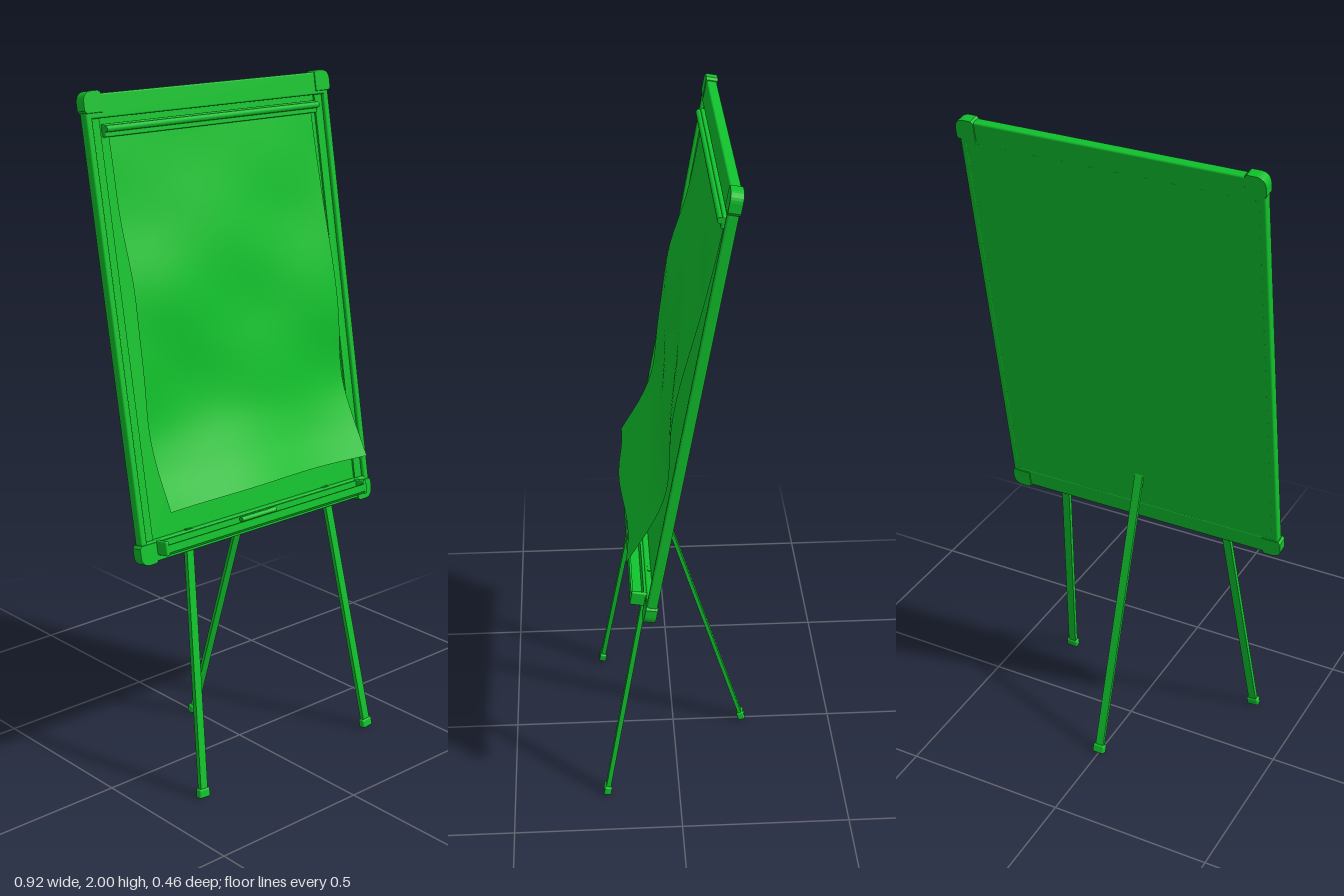
import * as THREE from 'three';
import { RoundedBoxGeometry } from 'three/addons/geometries/RoundedBoxGeometry.js';

export function createModel() {
  const model = new THREE.Group();
  const green = new THREE.MeshStandardMaterial({ color: 0x10c02c });
  const sheetMat = new THREE.MeshStandardMaterial({ color: 0x10c02c, side: THREE.DoubleSide });

  const add = (parent, name, geo, x = 0, y = 0, z = 0, mat = green) => {
    const mesh = new THREE.Mesh(geo, mat);
    mesh.name = name;
    mesh.position.set(x, y, z);
    parent.add(mesh);
    return mesh;
  };
  const box = (w, h, d) => new THREE.BoxGeometry(w, h, d);

  // Board leans back by ten degrees; everything on it is built upright
  const board = new THREE.Group();
  board.name = 'board';
  board.position.set(0, 1.357, -0.02);
  board.rotation.x = -Math.PI / 18;
  model.add(board);

  const H = 0.648, W = 0.449;
  add(board, 'panel', box(0.88, 1.28, 0.012), 0, 0, -0.008);

  // Frame: wide rails above and below, narrow rails at the sides
  const rail = (name, w, h, x, y) =>
    add(board, name, new RoundedBoxGeometry(w, h, 0.03, 2, 0.005), x, y, 0);
  rail('topRail', 2 * W, 0.066, 0, H - 0.033);
  rail('bottomRail', 2 * W, 0.06, 0, -H + 0.03);
  for (const s of [-1, 1]) {
    rail('sideRail', 0.02, 2 * H, s * (W - 0.01), 0);
    add(board, 'innerLip', box(0.032, 1.19, 0.006), s * 0.416, 0, 0.001);
  }

  // Rounded corner caps
  const corner = new THREE.Shape();
  corner.moveTo(-0.05, -0.055);
  corner.lineTo(0.002, -0.055);
  corner.lineTo(0.008, -0.048);
  corner.lineTo(0.008, -0.022);
  corner.quadraticCurveTo(0.006, 0.002, -0.02, 0.004);
  corner.lineTo(-0.043, 0.004);
  corner.lineTo(-0.05, -0.002);
  const capGeo = new THREE.ExtrudeGeometry(corner, {
    depth: 0.03, bevelEnabled: true, bevelSize: 0.001, bevelThickness: 0.002, bevelSegments: 1, curveSegments: 6,
  }).translate(0, 0, -0.015);
  [[1, 1, 0], [-1, 1, Math.PI / 2], [-1, -1, Math.PI], [1, -1, -Math.PI / 2]].forEach(([sx, sy, a]) => {
    add(board, 'cornerCap', capGeo, sx * W, sy * H, 0).rotation.z = a;
  });

  // Paper clamp
  add(board, 'clampBar', new RoundedBoxGeometry(0.79, 0.036, 0.018, 2, 0.004), 0, 0.548, 0.008);
  const roll = add(board, 'clampRoll', new THREE.CylinderGeometry(0.009, 0.009, 0.79, 12), 0, 0.552, 0.02);
  roll.rotation.z = Math.PI / 2;

  // Pen tray: channel section swept across the width
  const section = new THREE.Shape();
  [[0.01, -0.018], [0.05, -0.018], [0.057, -0.01], [0.057, 0.012], [0.051, 0.012], [0.049, -0.007],
    [0.022, -0.007], [0.022, 0.02], [0.01, 0.02]].forEach(([z, y], i) =>
    i ? section.lineTo(-z, y) : section.moveTo(-z, y));
  const trayGeo = new THREE.ExtrudeGeometry(section, { depth: 0.78, bevelEnabled: false });
  trayGeo.translate(0, 0, -0.39).rotateY(Math.PI / 2);
  add(board, 'penTray', trayGeo, 0, -0.612, 0);
  for (const s of [-1, 1])
    add(board, 'trayEnd', new RoundedBoxGeometry(0.012, 0.042, 0.046, 2, 0.004), s * 0.391, -0.61, 0.034);

  // Marker lying in the tray
  const pen = new THREE.Group();
  pen.name = 'marker';
  pen.position.set(-0.04, -0.598, 0.037);
  pen.rotation.z = Math.PI / 2;
  board.add(pen);
  add(pen, 'markerBody', new THREE.CylinderGeometry(0.008, 0.008, 0.09, 12), 0, 0.015);
  add(pen, 'markerCap', new THREE.CylinderGeometry(0.0065, 0.0095, 0.045, 12), 0, -0.05);

  // Paper sheet: lies against the board, bulges, then curls out at the bottom
  const profile = new THREE.CatmullRomCurve3([
    [0.545, 0.006], [0.45, 0.01], [0.3, 0.018], [0.12, 0.031], [-0.06, 0.027],
    [-0.27, 0.02], [-0.38, 0.042], [-0.505, 0.085],
  ].map(([y, z]) => new THREE.Vector3(0, y, z)));
  const sheet = new THREE.PlaneGeometry(2, 1, 28, 44);
  const pos = sheet.attributes.position;
  for (let i = 0; i < pos.count; i++) {
    const u = pos.getX(i), v = 0.5 - pos.getY(i);
    const p = profile.getPointAt(v);
    const mid = Math.sin(Math.PI * v);
    const ripple = 0.006 * mid * Math.sin(3.2 * u + 9 * v) + 0.003 * mid * Math.sin(5 * u - 17 * v);
    const curl = v ** 4 * 0.009 * Math.cos(4.2 * u + 0.8);
    pos.setXYZ(i, u * (0.378 + 0.004 * Math.sin(8 * v + u) * v), p.y + 0.005 * v ** 3 * Math.cos(2 * u), p.z + ripple + curl);
  }
  sheet.computeVertexNormals();
  add(board, 'paperSheet', sheet, 0, 0, 0, sheetMat);

  // Legs: flat bars between two points, each with a rounded foot
  const leg = (name, a, b, w, d) => {
    const from = new THREE.Vector3(...a), to = new THREE.Vector3(...b);
    const g = new THREE.Group();
    g.name = name;
    g.position.copy(to);
    g.quaternion.setFromUnitVectors(new THREE.Vector3(0, 1, 0), from.clone().sub(to).normalize());
    model.add(g);
    const len = from.distanceTo(to);
    add(g, 'legBar', box(w, len, d), 0, len / 2, 0);
    add(g, 'foot', new RoundedBoxGeometry(0.038, 0.027, 0.022, 2, 0.005), 0, 0.003, 0);
  };
  for (const s of [-1, 1])
    leg('frontLeg', [s * 0.27, 0.78, 0.082], [s * 0.335, 0.015, 0.219], 0.025, 0.014);
  leg('backLeg', [0, 0.885, 0.054], [0, 0.015, -0.218], 0.026, 0.011);

  return model;
}
